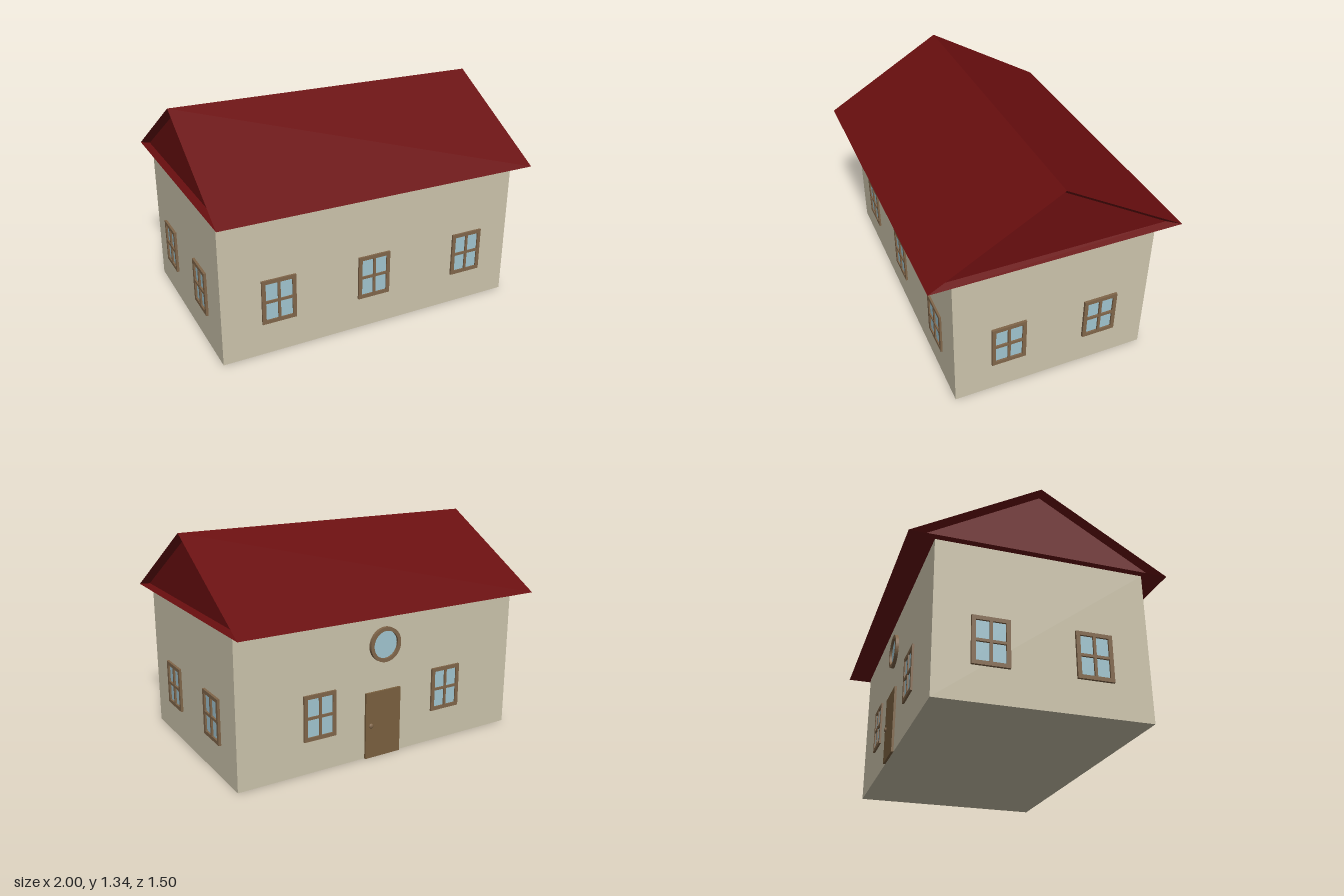
import * as THREE from 'three';

const mat = (name, color) => new THREE.MeshStandardMaterial({ name, color });

export function createModel() {
  const house = new THREE.Group();
  house.name = 'house';
  const wallMat = mat('beige wall', 0xcbc3ab);
  const roofMat = mat('dark red roof', 0x690e0f);
  const frameMat = mat('brown frame', 0x80664a);
  const doorMat = mat('brown door', 0x7a603f);
  const glassMat = mat('pale blue glass', 0xa0c4cf);

  const add = (parent, name, geometry, material, x = 0, y = 0, z = 0) => {
    const mesh = new THREE.Mesh(geometry, material);
    mesh.name = name;
    mesh.position.set(x, y, z);
    parent.add(mesh);
    return mesh;
  };

  // Walls
  add(house, 'walls', new THREE.BoxGeometry(1.92, 0.9, 1.21), wallMat, 0, 0.45, 0.005);

  // Roof: triangular prism whose gable ends are bevelled inwards to a smaller triangle
  const eave = 0.9, ridge = 1.335, half = 0.75, inset = 0.89;
  const centreY = (2 * eave + ridge) / 3;
  const section = (x, s) => [[half, eave], [-half, eave], [0, ridge]]
    .map(([z, y]) => [x, centreY + (y - centreY) * s, z * s]);
  const rings = [section(-0.96, inset), section(-1, 1), section(1, 1), section(0.96, inset)];
  const pos = [];
  for (let r = 0; r < 3; r++) {
    for (let i = 0; i < 3; i++) {
      const j = (i + 1) % 3;
      const a = rings[r][i], b = rings[r][j], c = rings[r + 1][j], d = rings[r + 1][i];
      pos.push(...a, ...b, ...c, ...a, ...c, ...d);
    }
  }
  pos.push(...rings[0][0], ...rings[0][2], ...rings[0][1]);
  pos.push(...rings[3][0], ...rings[3][1], ...rings[3][2]);
  const roof = new THREE.BufferGeometry();
  roof.setAttribute('position', new THREE.Float32BufferAttribute(pos, 3));
  roof.computeVertexNormals();
  add(house, 'roof', roof, roofMat);

  // Four-pane windows: frame with holes over a thin glass plate
  const w = 0.21, h = 0.275, border = 0.023, bar = 0.016;
  const rect = (target, x0, y0, x1, y1) =>
    target.moveTo(x0, y0).lineTo(x1, y0).lineTo(x1, y1).lineTo(x0, y1).closePath();
  const frameShape = rect(new THREE.Shape(), -w / 2, -h / 2, w / 2, h / 2);
  const px = w / 2 - border, py = h / 2 - border, b = bar / 2;
  for (const [x0, x1] of [[-px, -b], [b, px]]) {
    for (const [y0, y1] of [[-py, -b], [b, py]]) {
      frameShape.holes.push(rect(new THREE.Path(), x0, y0, x1, y1));
    }
  }
  const glassGeo = new THREE.BoxGeometry(w - border, h - border, 0.004);
  const addWindow = (name, x, z, turn, depth) => {
    const group = new THREE.Group();
    group.name = name;
    const frame = new THREE.ExtrudeGeometry(frameShape, { depth, bevelEnabled: false });
    add(group, 'windowFrame', frame, frameMat);
    add(group, 'windowGlass', glassGeo, glassMat, 0, 0, 0.002);
    group.position.set(x, 0.338, z);
    group.rotation.y = turn;
    house.add(group);
  };
  for (const x of [-0.615, -0.003, 0.657]) addWindow('frontWindow', x, 0.61, 0, 0.012);
  for (const x of [-0.45, 0.445]) addWindow('backWindow', x, -0.6, Math.PI, 0.012);
  for (const z of [0.283, -0.293]) {
    addWindow('leftWindow', 0.96, z, Math.PI / 2, 0.015);
    addWindow('rightWindow', -0.96, z, -Math.PI / 2, 0.015);
  }

  // Round window above the door
  const round = new THREE.Group();
  round.name = 'roundWindow';
  const ringShape = new THREE.Shape().absarc(0, 0, 0.105, 0, Math.PI * 2);
  ringShape.holes.push(new THREE.Path().absarc(0, 0, 0.083, 0, Math.PI * 2, true));
  add(round, 'roundFrame',
    new THREE.ExtrudeGeometry(ringShape, { depth: 0.02, bevelEnabled: false, curveSegments: 32 }), frameMat);
  const disc = new THREE.CylinderGeometry(0.09, 0.09, 0.006, 32).rotateX(Math.PI / 2);
  add(round, 'roundGlass', disc, glassMat, 0, 0, 0.003);
  round.position.set(0.008, 0.69, -0.6);
  round.rotation.y = Math.PI;
  house.add(round);

  // Back door with knob
  add(house, 'door', new THREE.BoxGeometry(0.245, 0.41, 0.014), doorMat, 0.017, 0.205, -0.607);
  const stem = new THREE.CylinderGeometry(0.007, 0.007, 0.012, 12).rotateX(Math.PI / 2);
  add(house, 'doorKnobStem', stem, frameMat, 0.105, 0.205, -0.614);
  const knob = add(house, 'doorKnob', new THREE.SphereGeometry(0.015, 16, 12), frameMat, 0.105, 0.205, -0.617);
  knob.scale.z = 0.6;

  return house;
}
